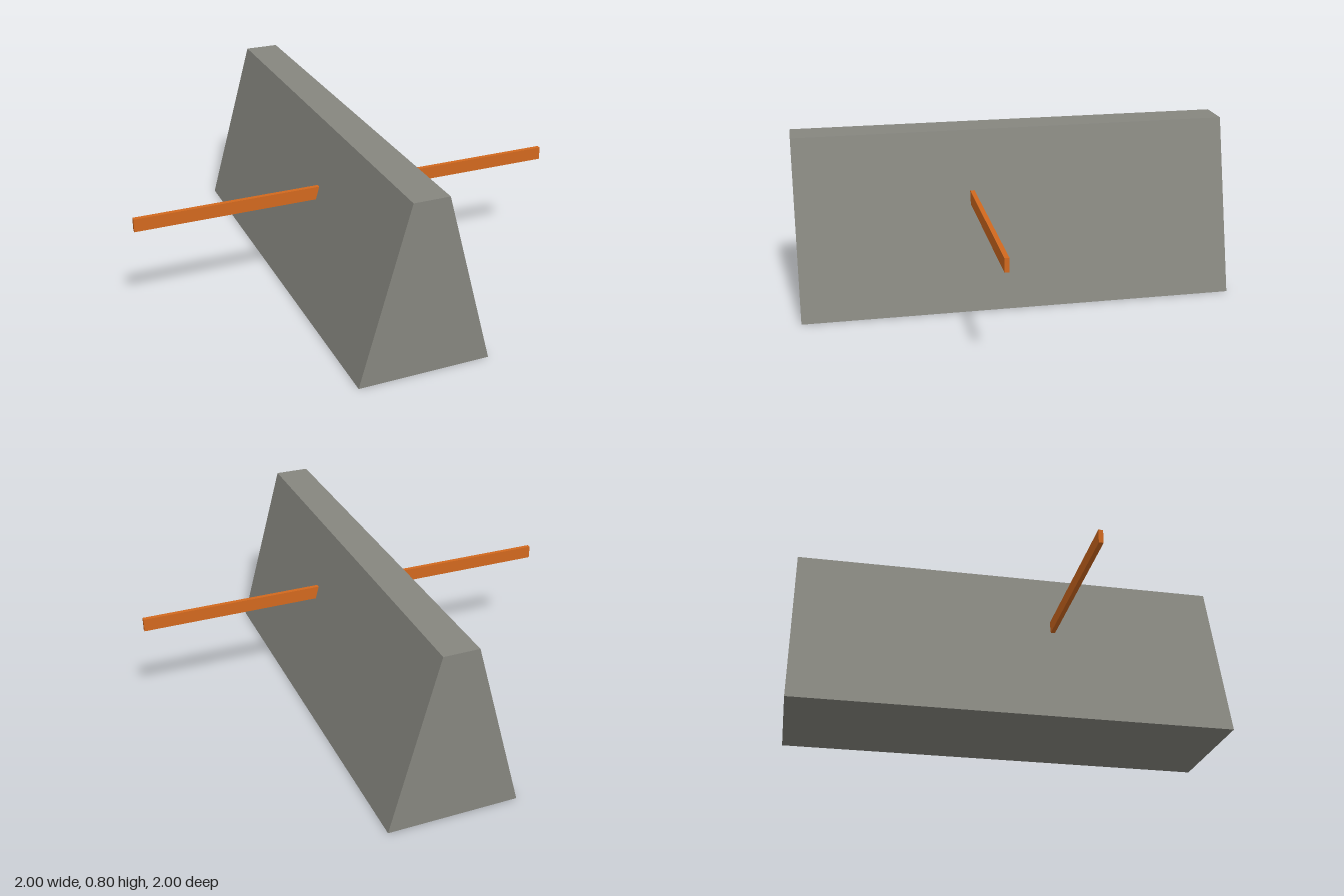
import * as THREE from 'three';

export function createModel() {
  const model = new THREE.Group();
  const stone = new THREE.MeshStandardMaterial({ name: 'stone grey', color: 0x86867f, flatShading: true });
  const orange = new THREE.MeshStandardMaterial({ name: 'rust orange', color: 0xd2691e, flatShading: true });

  // Long barrier with a trapezoid section
  const section = new THREE.Shape([
    new THREE.Vector2(-0.3, 0),
    new THREE.Vector2(0.3, 0),
    new THREE.Vector2(0.08, 0.8),
    new THREE.Vector2(-0.08, 0.8),
  ]);
  const barrierGeometry = new THREE.ExtrudeGeometry(section, { depth: 2, bevelEnabled: false });
  barrierGeometry.translate(0, 0, -1);
  const barrier = new THREE.Mesh(barrierGeometry, stone);
  barrier.name = 'barrier';
  model.add(barrier);

  // Thin bar passing crosswise through the barrier
  const crossbar = new THREE.Mesh(new THREE.BoxGeometry(2, 0.06, 0.02), orange);
  crossbar.name = 'crossbar';
  crossbar.position.set(0, 0.504, 0.2);
  model.add(crossbar);

  return model;
}
